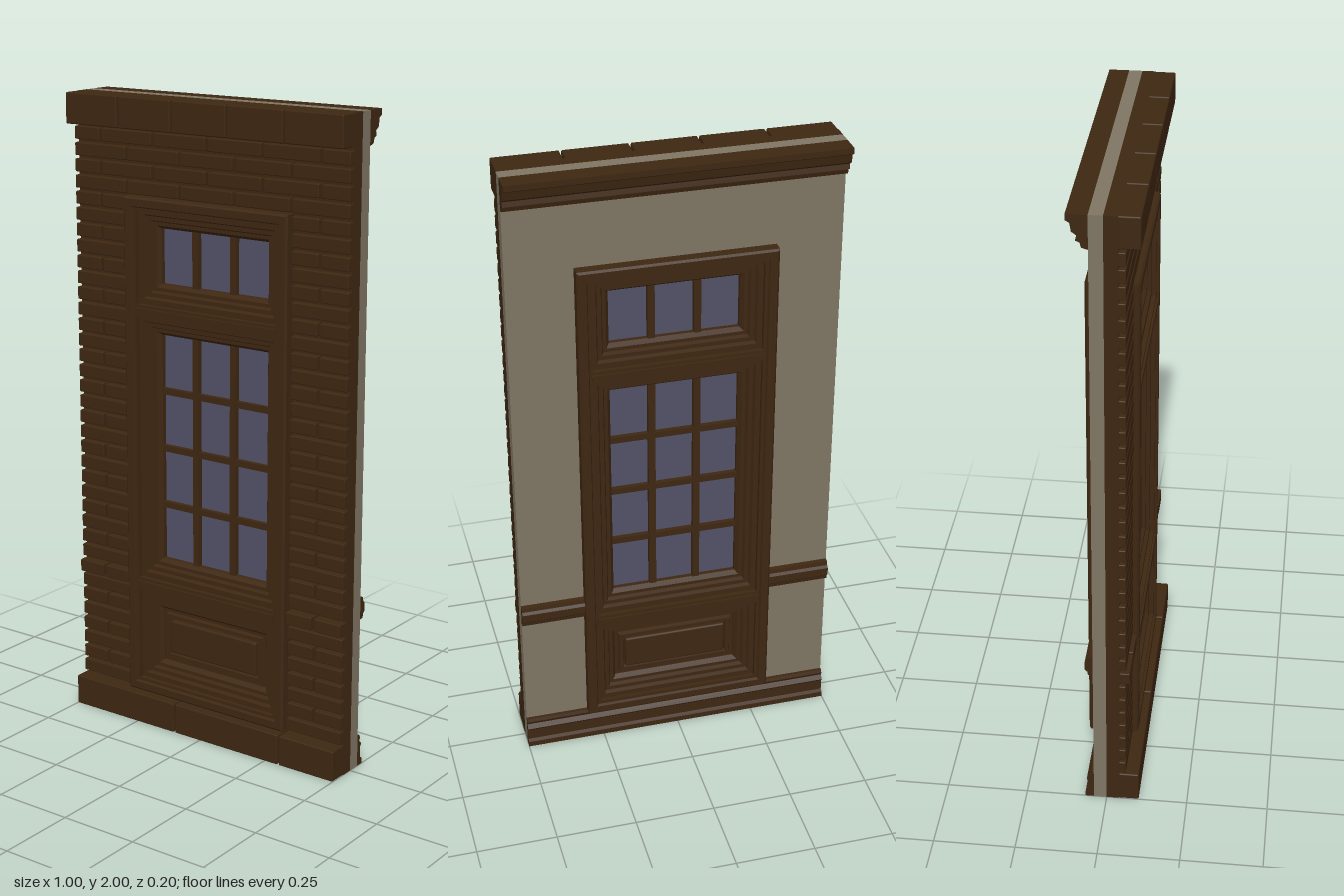
import * as THREE from 'three';
import { mergeGeometries } from 'three/addons/utils/BufferGeometryUtils.js';
import { RoundedBoxGeometry } from 'three/addons/geometries/RoundedBoxGeometry.js';

const brown = new THREE.MeshStandardMaterial({ color: 0x3e2712 });
brown.name = 'dark brown';
const plaster = new THREE.MeshStandardMaterial({ color: 0x7f7564 });
plaster.name = 'plaster';
const glass = new THREE.MeshStandardMaterial({ color: 0x535268 });
glass.name = 'window glass';

// Box given by its limits on each axis
function block(x0, x1, y0, y1, z0, z1, round = 0) {
  const size = [x1 - x0, y1 - y0, z1 - z0];
  const g = round ? new RoundedBoxGeometry(...size, 1, round) : new THREE.BoxGeometry(...size);
  return g.translate((x0 + x1) / 2, (y0 + y1) / 2, (z0 + z1) / 2);
}

// Rectangular mitred frame: a closed [inset, z] section carried around four corners
function frame(x0, x1, y0, y1, section) {
  const pos = [];
  const corners = ([i, z]) => [
    [x0 + i, y0 + i, z], [x1 - i, y0 + i, z], [x1 - i, y1 - i, z], [x0 + i, y1 - i, z]];
  section.forEach((p, j) => {
    const A = corners(p), B = corners(section[(j + 1) % section.length]);
    for (let k = 0; k < 4; k++) {
      const n = (k + 1) % 4;
      pos.push(...A[k], ...A[n], ...B[n], ...A[k], ...B[n], ...B[k]);
    }
  });
  const g = new THREE.BufferGeometry();
  g.setAttribute('position', new THREE.Float32BufferAttribute(pos, 3));
  g.computeVertexNormals();
  return g;
}

// Mirror a front half-section to the back to close it
const bothFaces = (half) => [...half, ...half.map(([i, z]) => [i, -z]).reverse()];

// Moulding along x on the back wall, profile given as [distance behind z = 0, y]
function moulding(x0, x1, profile) {
  const shape = new THREE.Shape(profile.map(([u, y]) => new THREE.Vector2(u, y)));
  return new THREE.ExtrudeGeometry(shape, { depth: x1 - x0, bevelEnabled: false })
    .rotateY(Math.PI / 2).translate(x0, 0, 0);
}

// Wall slab with the door opening cut through
function wallSlab(z0, z1) {
  const rect = (P, x, y0, y1) => new P([
    new THREE.Vector2(-x, y0), new THREE.Vector2(x, y0),
    new THREE.Vector2(x, y1), new THREE.Vector2(-x, y1)]);
  const s = rect(THREE.Shape, 0.5, 0, 2);
  s.holes.push(rect(THREE.Path, 0.28, 0.12, 1.68));
  return new THREE.ExtrudeGeometry(s, { depth: z1 - z0, bevelEnabled: false }).translate(0, 0, z0);
}

export function createModel() {
  const model = new THREE.Group();
  const add = (name, geometry, material = brown) => {
    const m = new THREE.Mesh(geometry, material);
    m.name = name;
    model.add(m);
  };

  // Wall core
  add('brickBacking', wallSlab(0, 0.04));
  add('plasterWall', wallSlab(-0.04, 0), plaster);

  // Running-bond bricks, split around the door casing
  const bricks = [], gap = 0.005;
  for (let row = 0; row < 36; row++) {
    const y = 0.1 + row * 0.05;
    const depth = row === 7 ? 0.072 : 0.06;
    const start = row % 2 ? -0.6 : -0.5;
    for (let x = start; x < 0.49; x += 0.2) {
      const a = Math.max(x, -0.5), b = Math.min(x + 0.2, 0.5);
      const spans = y > 1.69 ? [[a, b]] : [[a, Math.min(b, -0.3)], [Math.max(a, 0.3), b]];
      for (const [l, r] of spans) {
        if (r - l < 0.03) continue;
        bricks.push(block(l < -0.49 ? l : l + gap, r > 0.49 ? r : r - gap,
          y + gap, y + 0.05 - gap, 0.03, depth, 0.003));
      }
    }
  }
  add('bricks', mergeGeometries(bricks));

  // Large stone courses at top and bottom of the front
  const courses = [];
  const course = (cuts, y0, y1) => {
    for (let i = 0; i + 1 < cuts.length; i++) {
      courses.push(block(cuts[i] + (i ? 0.003 : 0),
        cuts[i + 1] - (i + 2 < cuts.length ? 0.003 : 0), y0, y1, 0.03, 0.1, 0.004));
    }
  };
  course([-0.5, -0.3, -0.1, 0.1, 0.3, 0.5], 1.905, 2);
  course([-0.5, -0.1, 0.3, 0.5], 0, 0.098);
  add('stoneCourses', mergeGeometries(courses));

  // Interior mouldings
  add('crownMoulding', moulding(-0.5, 0.5, [
    [0.04, 1.9], [0.058, 1.905], [0.062, 1.92], [0.074, 1.925], [0.07, 1.94],
    [0.084, 1.95], [0.088, 1.975], [0.1, 1.982], [0.1, 2], [0.04, 2]]));
  add('baseboard', moulding(-0.5, 0.5, [
    [0.04, 0], [0.066, 0], [0.066, 0.018], [0.056, 0.024], [0.056, 0.06],
    [0.062, 0.068], [0.05, 0.08], [0.054, 0.09], [0.05, 0.1], [0.04, 0.1]]));
  for (const [side, x] of [['left', 0.3], ['right', -0.5]]) {
    add(side + 'ChairRail', moulding(x, x + 0.2, [
      [0.04, 0.48], [0.054, 0.482], [0.056, 0.495], [0.064, 0.502],
      [0.064, 0.528], [0.056, 0.535], [0.054, 0.548], [0.04, 0.55]]));
  }

  // Door casing and cross rails
  add('doorCasing', frame(-0.3, 0.3, 0.1, 1.7, bothFaces([
    [0, 0.072], [0.006, 0.078], [0.028, 0.078], [0.032, 0.07], [0.042, 0.07]])));
  for (const [name, y0, y1] of [['transomRail', 1.335, 1.37], ['lockRail', 0.44, 0.485]]) {
    add(name, block(-0.262, 0.262, y0, y1, -0.07, 0.07));
    add(name + 'Lip', block(-0.262, 0.262, y0 + 0.01, y1 - 0.01, -0.077, 0.077));
  }

  // Stepped sash frames in the three openings
  const sash = bothFaces([[0, 0.056], [0.018, 0.056], [0.023, 0.044], [0.036, 0.044],
    [0.041, 0.032], [0.052, 0.032], [0.062, 0.018]]);
  const openings = { transom: [1.37, 1.665], window: [0.485, 1.335], lower: [0.14, 0.44] };
  for (const [name, [y0, y1]] of Object.entries(openings)) {
    add(name + 'Sash', frame(-0.26, 0.26, y0, y1, sash));
  }

  // Glazing with a grid of bars
  const glazing = (name, y0, y1, rows) => {
    add(name + 'Glass', block(-0.2, 0.2, y0, y1, -0.004, 0.004), glass);
    const bars = [];
    for (const x of [-0.07, 0.07]) bars.push(block(x - 0.011, x + 0.011, y0, y1, -0.02, 0.02));
    for (let i = 1; i < rows; i++) {
      const y = y0 + (y1 - y0) * i / rows;
      bars.push(block(-0.2, 0.2, y - 0.01, y + 0.01, -0.019, 0.019));
    }
    add(name + 'Bars', mergeGeometries(bars));
  };
  glazing('transom', 1.43, 1.605, 1);
  glazing('window', 0.543, 1.278, 4);

  // Raised lower panel
  add('lowerPanel', block(-0.21, 0.21, 0.19, 0.39, -0.014, 0.014));
  add('lowerPanelBead', frame(-0.187, 0.187, 0.213, 0.367,
    bothFaces([[0, 0.014], [0.004, 0.026], [0.016, 0.026], [0.02, 0.014]])));
  add('lowerPanelField', block(-0.165, 0.165, 0.235, 0.345, -0.03, 0.03, 0.006));

  return model;
}
